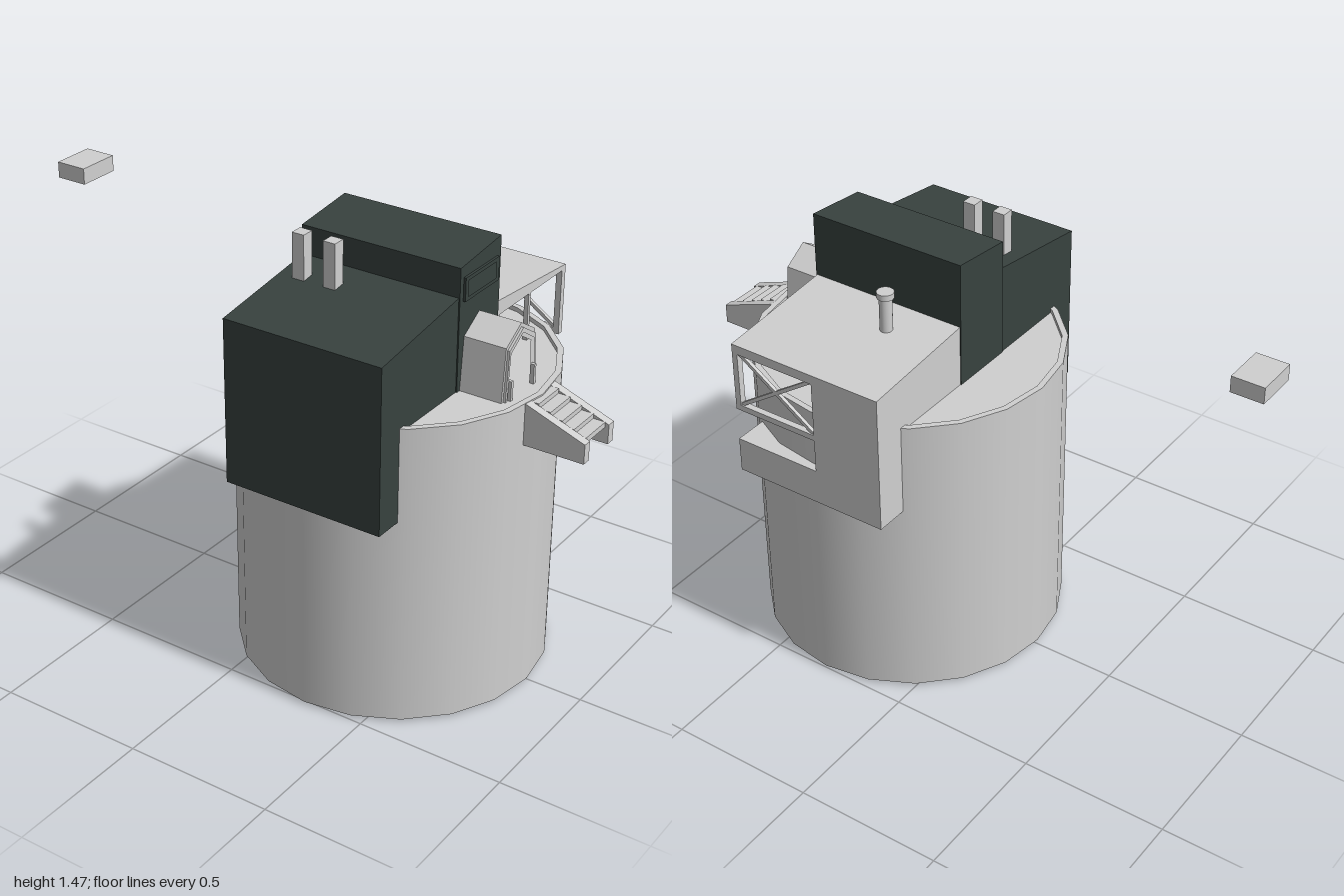
import * as THREE from 'three';

export function createModel() {
  const model = new THREE.Group();
  const grey = new THREE.MeshStandardMaterial({ color: 0xd0d0d0 });
  grey.name = 'paleGrey';
  const dark = new THREE.MeshStandardMaterial({ color: 0x38423f });
  dark.name = 'darkSlate';

  const add = (name, geometry, material, parent = model) => {
    const mesh = new THREE.Mesh(geometry, material);
    mesh.name = name;
    parent.add(mesh);
    return mesh;
  };
  const group = (name) => {
    const g = new THREE.Group();
    g.name = name;
    model.add(g);
    return g;
  };
  // Box from its low and high corners
  const box = (name, x0, x1, y0, y1, z0, z1, material, parent) => {
    const g = new THREE.BoxGeometry(x1 - x0, y1 - y0, z1 - z0);
    g.translate((x0 + x1) / 2, (y0 + y1) / 2, (z0 + z1) / 2);
    return add(name, g, material, parent);
  };
  // Side profile of [z, y] points, extruded from x0 to x1
  const toPoints = (pts) => pts.map(([z, y]) => new THREE.Vector2(-z, y));
  const prism = (name, pts, x0, x1, material, parent, hole) => {
    const shape = new THREE.Shape(toPoints(pts));
    if (hole) shape.holes.push(new THREE.Path(toPoints(hole)));
    const g = new THREE.ExtrudeGeometry(shape, { depth: x1 - x0, bevelEnabled: false });
    g.rotateY(Math.PI / 2).translate(x0, 0, 0);
    return add(name, g, material, parent);
  };
  // Square bar between two points
  const bar = (name, a, b, size, parent) => {
    const from = new THREE.Vector3(...a), to = new THREE.Vector3(...b);
    const mesh = add(name, new THREE.BoxGeometry(size, size, from.distanceTo(to)), grey, parent);
    mesh.position.copy(from).lerp(to, 0.5);
    mesh.lookAt(to);
  };

  // Round tank: one lathe band per profile step keeps the edges sharp
  const tank = group('tank');
  tank.position.set(0.3, 0, 0.008);
  const profile = [[0, 0], [0.25, 0.004], [0.51, 0.01], [0.51, 1.04], [0.49, 1.04], [0.49, 1.025], [0, 1.025]];
  const bands = ['baseCentre', 'baseEdge', 'tankWall', 'rim', 'rimInside', 'deck'];
  bands.forEach((name, i) => {
    const pts = [profile[i], profile[i + 1]].map((p) => new THREE.Vector2(...p));
    add(name, new THREE.LatheGeometry(pts, 20), grey, tank);
  });

  // Dark front house with sloping roof, and the taller block behind it
  const house = group('darkHouse');
  prism('frontHouse', [[0.53, 0.725], [0.53, 1.277], [0.12, 1.335], [0.12, 1.01], [0.4, 1.01], [0.4, 0.725]],
    0.023, 0.578, dark, house);
  prism('upperBlock', [[0.125, 1.02], [0.125, 1.43], [-0.103, 1.455], [-0.103, 1.02]], 0.02, 0.582, dark, house);
  prism('endWindowFrame', [[0.107, 1.318], [0.107, 1.395], [-0.083, 1.395], [-0.083, 1.318]], 0.582, 0.59, dark, house,
    [[0.09, 1.33], [0.09, 1.383], [-0.066, 1.383], [-0.066, 1.33]]);
  for (const x of [0.075, 0.187]) box('squareChimney', x, x + 0.043, 1.29, 1.465, 0.212, 0.255, grey, house);

  // Grey rear shed: solid bay, sloping roof, sill and open frame
  const shed = group('rearShed');
  prism('solidBay', [[-0.53, 0.725], [-0.53, 1.2], [-0.1, 1.236], [-0.1, 1.02], [-0.4, 1.02], [-0.4, 0.725]],
    0.023, 0.27, grey, shed);
  prism('shedRoof', [[-0.53, 1.185], [-0.53, 1.2], [-0.1, 1.236], [-0.1, 1.185]], 0.27, 0.578, grey, shed);
  box('sill', 0.27, 0.578, 0.725, 0.845, -0.53, -0.4, grey, shed);
  box('cornerPost', 0.558, 0.578, 0.96, 1.185, -0.53, -0.508, grey, shed);
  for (const z of [-0.31, -0.122]) box('sidePost', 0.563, 0.578, 1.02, 1.185, z, z + 0.013, grey, shed);
  box('lowerBeam', 0.27, 0.578, 0.96, 0.98, -0.53, -0.508, grey, shed);
  box('upperBeam', 0.27, 0.578, 1.168, 1.186, -0.53, -0.508, grey, shed);
  bar('brace', [0.27, 0.975, -0.519], [0.565, 1.175, -0.519], 0.012, shed);
  bar('brace', [0.27, 1.175, -0.519], [0.565, 0.975, -0.519], 0.012, shed);
  box('deckBox', 0.36, 0.54, 1.02, 1.07, -0.225, -0.125, grey, shed);

  // Round flue with a wider cap
  const flue = group('flue');
  flue.position.set(0.213, 0, -0.225);
  add('fluePipe', new THREE.CylinderGeometry(0.021, 0.021, 0.16, 16), grey, flue).position.y = 1.27;
  add('flueCap', new THREE.CylinderGeometry(0.028, 0.028, 0.02, 16), grey, flue).position.y = 1.35;

  // Arched entry: nested gabled frames around an open doorway
  const entry = group('entry');
  const arch = (w, shoulder, top) => [
    [0.01 + w, 1.02], [0.01 + w * 0.84, shoulder], [0.01, top], [0.01 - w * 0.84, shoulder], [0.01 - w, 1.02],
  ];
  prism('entryShell', arch(0.1, 1.2, 1.252), 0.578, 0.726, grey, entry, arch(0.073, 1.17, 1.208));
  prism('entryTrim', arch(0.09, 1.19, 1.238), 0.726, 0.734, grey, entry, arch(0.08, 1.178, 1.222));
  for (const z of [-0.065, 0.07]) box('doorPost', 0.728, 0.742, 1.02, 1.09, z, z + 0.012, grey, entry);

  // Outside stair: two sloping side walls with treads between them
  const stair = group('stair');
  for (const z of [-0.086, 0.062]) {
    const side = new THREE.Shape([[0.78, 0.9], [1, 0.9], [1, 0.965], [0.8, 1.038], [0.78, 1.038]]
      .map((p) => new THREE.Vector2(...p)));
    const g = new THREE.ExtrudeGeometry(side, { depth: 0.03, bevelEnabled: false });
    add('stairSide', g.translate(0, 0, z), grey, stair);
  }
  for (let i = 0; i < 5; i++) {
    const x = 0.785 + i * 0.04, y = 1.035 - i * 0.016;
    box('tread', x, x + 0.042, y - 0.018, y, -0.057, 0.063, grey, stair);
  }

  // Detached block off to the side
  box('detachedBlock', -1, -0.89, 1.33, 1.385, -0.07, 0.078, grey);

  return model;
}
